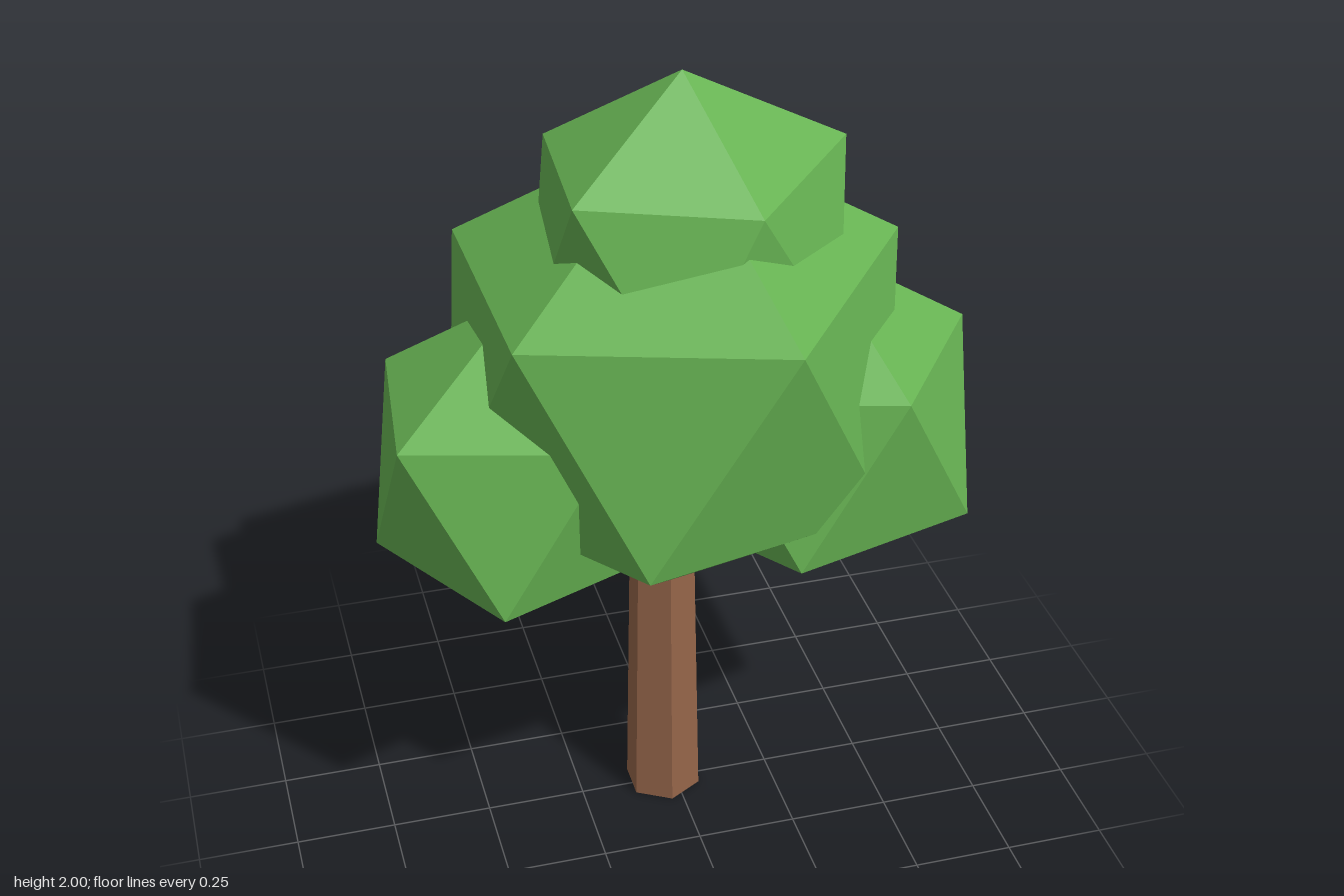
import * as THREE from 'three';

const foliage = new THREE.MeshStandardMaterial({ color: 0x66b252 });
foliage.name = 'foliage green';
const bark = new THREE.MeshStandardMaterial({ color: 0x946449 });
bark.name = 'bark brown';

// Faceted mesh: split the faces so that each keeps its own flat normal
function facetedMesh(name, geometry, material) {
  const flat = geometry.index ? geometry.toNonIndexed() : geometry;
  flat.computeVertexNormals();
  const mesh = new THREE.Mesh(flat, material);
  mesh.name = name;
  return mesh;
}

// Leaf clump: a 20-sided ball standing on a corner. Corners are 0 top,
// 1-5 upper ring, 6-10 lower ring, 11 bottom; "moved" shifts some of them
// to given positions for an uneven, hand-cut look.
function leafClump(name, [cx, cy, cz], radius, moved = {}) {
  const ringRadius = radius * 2 / Math.sqrt(5);
  const ringHeight = radius / Math.sqrt(5);
  const corners = [[cx, cy + radius, cz]];
  for (const [side, turn] of [[1, 0], [-1, Math.PI / 5]]) {
    for (let k = 0; k < 5; k++) {
      const a = turn + k * Math.PI * 2 / 5;
      corners.push([cx + ringRadius * Math.cos(a), cy + side * ringHeight, cz + ringRadius * Math.sin(a)]);
    }
  }
  corners.push([cx, cy - radius, cz]);
  for (const i in moved) corners[i] = moved[i];

  const faces = [];
  for (let k = 0; k < 5; k++) {
    const next = (k + 1) % 5;
    const u = 1 + k, un = 1 + next, l = 6 + k, ln = 6 + next;
    faces.push(0, un, u, u, un, l, un, ln, l, 11, l, ln);
  }
  const geometry = new THREE.BufferGeometry();
  geometry.setAttribute('position', new THREE.Float32BufferAttribute(corners.flat(), 3));
  geometry.setIndex(faces);
  return facetedMesh(name, geometry, foliage);
}

export function createModel() {
  const tree = new THREE.Group();
  tree.name = 'tree';

  // Six-sided trunk, its upper end hidden in the crown
  const trunk = facetedMesh('trunk', new THREE.CylinderGeometry(0.081, 0.098, 0.85, 6), bark);
  trunk.position.set(-0.03, 0.425, -0.008);
  tree.add(trunk);

  // Crown of four overlapping clumps
  const crown = new THREE.Group();
  crown.name = 'crown';
  crown.add(
    leafClump('middleClump', [0, 1.257, 0], 0.618, {
      1: [0.55, 1.545, -0.01],
      2: [0.145, 1.54, 0.525],
      3: [-0.445, 1.515, 0.295],
      4: [-0.46, 1.52, -0.325],
      5: [0.14, 1.535, -0.53],
      6: [0.43, 0.97, 0.32],
      7: [-0.19, 0.99, 0.49],
      9: [-0.195, 0.985, -0.525],
    }),
    leafClump('topClump', [0.034, 1.58, -0.012], 0.42, {
      0: [0.02, 2, -0.01],
      1: [0.41, 1.8, -0.01],
      2: [0.12, 1.765, 0.3],
      3: [-0.285, 1.8, 0.21],
      4: [-0.255, 1.79, -0.215],
      5: [0.125, 1.77, -0.33],
    }),
    leafClump('leftClump', [0.33, 1.08, -0.005], 0.455, {
      1: [0.73, 1.285, -0.01],
      2: [0.455, 1.29, 0.375],
      5: [0.455, 1.29, -0.39],
      6: [0.675, 0.872, 0.24],
      10: [0.665, 0.872, -0.25],
      11: [0.33, 0.61, 0],
    }),
    leafClump('rightClump', [-0.365, 1.075, 0], 0.42, {
      3: [-0.7, 1.255, 0.22],
      4: [-0.655, 1.255, -0.215],
      7: [-0.5, 0.86, 0.365],
      8: [-0.735, 0.875, -0.01],
      9: [-0.49, 0.87, -0.37],
      11: [-0.375, 0.67, 0],
    }),
  );
  tree.add(crown);
  return tree;
}
